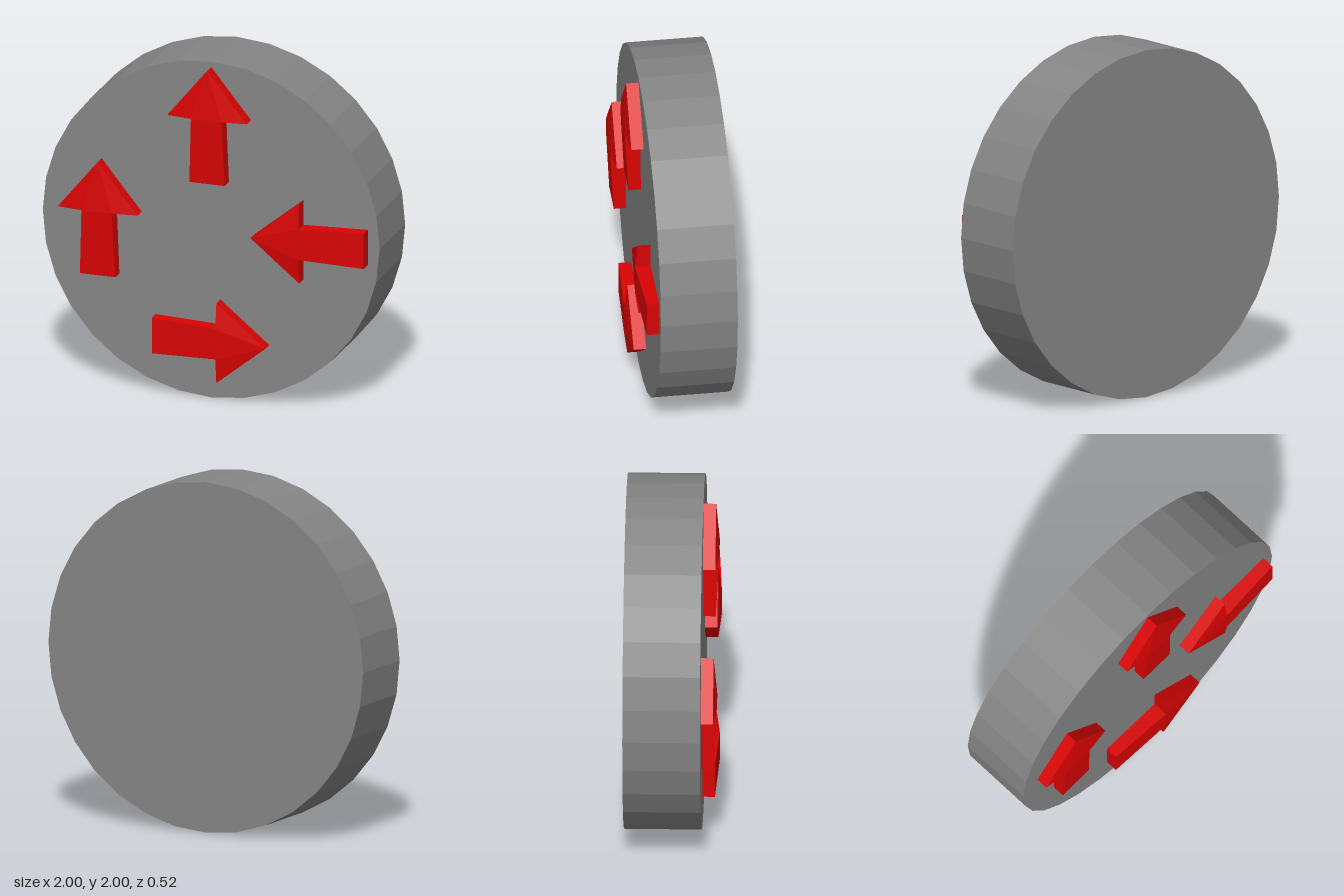
import * as THREE from 'three';

const FRONT = 0.173; // z of the disc's front face

// Arrow pointing up, origin in the middle of the head's base, standing on z = 0
function arrowGeometry() {
  // Counter-clockwise outline: x, y and height; the neck is the highest part
  const outline = [
    [0, 0.29, 0.07],
    [-0.237, 0, 0.07],
    [-0.09, 0, 0.089],
    [-0.105, -0.383, 0.07],
    [0.105, -0.383, 0.07],
    [0.09, 0, 0.089],
    [0.237, 0, 0.07],
  ];
  const top = (i) => outline[i];
  const foot = (i) => [outline[i][0], outline[i][1], 0];
  const positions = [];
  const tri = (a, b, c) => positions.push(...a, ...b, ...c);

  // Faceted top: three head facets and the sloping shaft
  [[0, 1, 2], [0, 2, 5], [0, 5, 6], [2, 3, 4], [2, 4, 5]]
    .forEach((f) => tri(...f.map(top)));

  // Side walls
  for (let i = 0; i < outline.length; i++) {
    const j = (i + 1) % outline.length;
    tri(foot(i), foot(j), top(j));
    tri(foot(i), top(j), top(i));
  }

  const geometry = new THREE.BufferGeometry();
  geometry.setAttribute('position', new THREE.Float32BufferAttribute(positions, 3));
  geometry.computeVertexNormals();
  return geometry;
}

export function createModel() {
  const model = new THREE.Group();
  model.name = 'arrowDisc';

  // Thick 32-sided disc standing on its rim
  const discGeometry = new THREE.CylinderGeometry(1, 1, 0.435, 32);
  discGeometry.rotateX(Math.PI / 2);
  const disc = new THREE.Mesh(
    discGeometry,
    new THREE.MeshStandardMaterial({ color: 0x858585, flatShading: true })
  );
  disc.name = 'disc';
  disc.position.set(0, 1, FRONT - 0.2175);
  model.add(disc);

  // Four raised arrows: name, x, y, turn
  const geometry = arrowGeometry();
  const red = new THREE.MeshStandardMaterial({ color: 0xd80303, flatShading: true });
  [
    ['topArrow', 0, 1.677, 0],
    ['rightArrow', -0.65, 1.057, 0],
    ['leftArrow', 0.547, 1.002, Math.PI / 2],
    ['bottomArrow', 0.055, 0.352, -Math.PI / 2],
  ].forEach(([name, x, y, turn]) => {
    const arrow = new THREE.Mesh(geometry, red);
    arrow.name = name;
    arrow.position.set(x, y, FRONT);
    arrow.rotation.z = turn;
    model.add(arrow);
  });

  return model;
}
